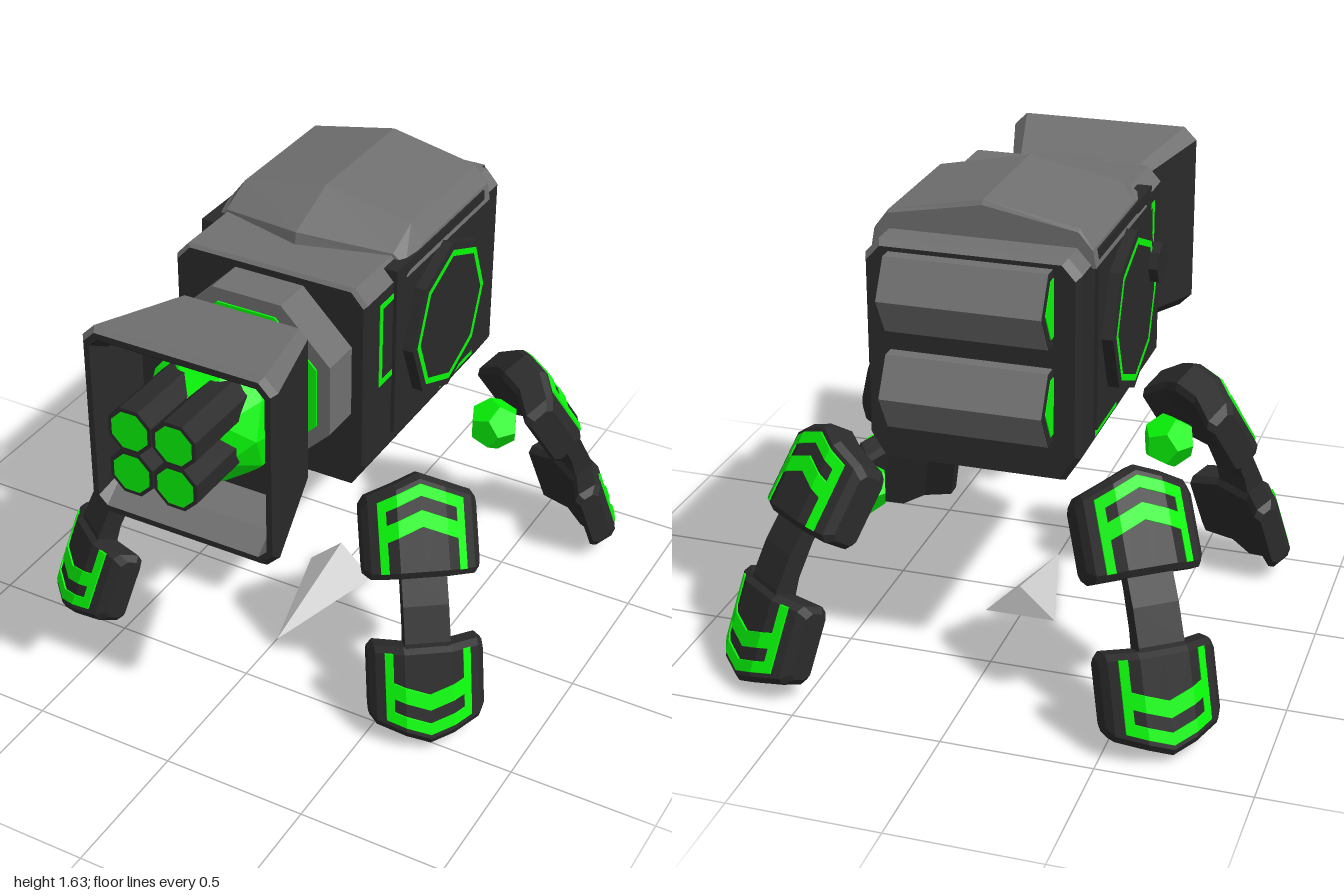
import * as THREE from 'three';
import { ConvexGeometry } from 'three/addons/geometries/ConvexGeometry.js';

const mat = (color, side = THREE.FrontSide) =>
  new THREE.MeshStandardMaterial({ color, flatShading: true, side });
const GREY = mat(0x707070), DARK = mat(0x2a2a2a), GREEN = mat(0x08f808, THREE.DoubleSide), PALE = mat(0xcccccc);

function add(parent, name, geo, material, x = 0, y = 0, z = 0) {
  const m = new THREE.Mesh(geo, material);
  m.name = name;
  m.position.set(x, y, z);
  parent.add(m);
  return m;
}
const box = (p, name, m, w, h, d, x, y, z) => add(p, name, new THREE.BoxGeometry(w, h, d), m, x, y, z);

// Skin through rings of points (counter-clockwise seen from the far end), with end caps
function loft(rings) {
  const pos = [], n = rings[0].length;
  const tri = (...ps) => ps.forEach(p => pos.push(...p));
  const mid = r => [0, 1, 2].map(k => r.reduce((s, p) => s + p[k], 0) / n);
  const first = rings[0], last = rings[rings.length - 1];
  for (let j = 0; j < n; j++) {
    const k = (j + 1) % n;
    for (let i = 0; i + 1 < rings.length; i++) {
      const a = rings[i], b = rings[i + 1];
      tri(a[j], a[k], b[j]);
      tri(a[k], b[k], b[j]);
    }
    tri(mid(first), first[k], first[j]);
    tri(mid(last), last[j], last[k]);
  }
  const g = new THREE.BufferGeometry();
  g.setAttribute('position', new THREE.Float32BufferAttribute(pos, 3));
  g.computeVertexNormals();
  return g;
}

// Two-tone armour: facets facing up are grey, the rest dark
function armour(parent, name, geo, limit) {
  const src = (geo.index ? geo.toNonIndexed() : geo).getAttribute('position').array;
  const sets = [[], []], t = new THREE.Triangle(), nrm = new THREE.Vector3();
  for (let i = 0; i < src.length; i += 9) {
    t.a.fromArray(src, i); t.b.fromArray(src, i + 3); t.c.fromArray(src, i + 6);
    t.getNormal(nrm);
    sets[nrm.y > limit ? 0 : 1].push(...src.slice(i, i + 9));
  }
  sets.forEach((s, i) => {
    if (!s.length) return;
    const g = new THREE.BufferGeometry();
    g.setAttribute('position', new THREE.Float32BufferAttribute(s, 3));
    g.computeVertexNormals();
    add(parent, name + (i ? 'Dark' : 'Grey'), g, i ? DARK : GREY);
  });
}

// Rectangle with cut corners, centred on height cy
const cutRect = (w, h, c, cy, z) => [
  [w, -h + c], [w, h - c], [w - c, h], [-w + c, h], [-w, h - c], [-w, -h + c], [-w + c, -h], [w - c, -h],
].map(([x, y]) => [x, y + cy, z]);

const prismZ = (r, len, sides, turn) =>
  new THREE.CylinderGeometry(r, r, len, sides).rotateY(turn).rotateX(Math.PI / 2);
const prismX = (r, len, sides) => new THREE.CylinderGeometry(r, r, len, sides).rotateZ(Math.PI / 2);

// Leg plate folded back at both sides, with green markings; dir sets whether its point is up or down
function legPlate(name, dir, depth, side, tip) {
  const g = new THREE.Group();
  g.name = name;
  const W = 0.19, FOLD = 0.08;
  const peak = x => tip - (tip - side) * Math.abs(x) / W;
  // Slab across the plate from height lo(x) to hi(x), with cut edges c that grow by end(x)
  const slab = (xs, lo, hi, back, front, c, end = () => 0) => loft(xs.map(x => {
    const f = -0.5 * Math.max(0, Math.abs(x) - FOLD), e = end(x);
    const [y0, y1] = dir > 0 ? [lo(x) + e, hi(x) - e] : [-hi(x) + e, -lo(x) - e];
    const z0 = back + f + e, z1 = front + f - e;
    return [[y0 + c, z0], [y1 - c, z0], [y1, z0 + c], [y1, z1 - c], [y1 - c, z1], [y0 + c, z1],
      [y0, z1 - c], [y0, z0 + c]].map(([y, z]) => [x, y, z]);
  }));
  add(g, 'plate', slab([-W, -W + 0.02, -FOLD, 0, FOLD, W - 0.02, W], () => 0, peak, -depth, 0, 0.02,
    x => (Math.abs(x) === W ? 0.018 : 0)), DARK);
  const band = (label, xs, lo, hi) => add(g, label, slab(xs, lo, hi, -0.004, 0.006, 0.001), GREEN);
  const across = [-0.115, -FOLD, 0, FOLD, 0.115];
  band('greenEdge', across, x => peak(x) - 0.075, x => peak(x) - 0.035);
  band('greenChevron', across, x => peak(x) - 0.175, x => peak(x) - 0.12);
  for (const s of [-1, 1])
    band('greenSide', [s * 0.128 - 0.013, s * 0.128 + 0.013], () => 0.018, x => peak(x) - 0.035);
  return g;
}

// Leg reaching out along local +z
function makeLeg(name) {
  const leg = new THREE.Group();
  leg.name = name;
  const thigh = legPlate('upperLeg', 1, 0.13, 0.265, 0.34);
  thigh.position.set(0, 0.57, 1.045);
  thigh.rotation.x = -0.57;
  const foot = legPlate('foot', -1, 0.11, 0.265, 0.335);
  foot.position.set(0, 0.355, 1.135);
  foot.rotation.x = -0.35;
  leg.add(thigh, foot);
  const bar = (y, z) => [[0.075, y, z + 0.042], [0.075, y + 0.02, z - 0.042],
    [-0.075, y + 0.02, z - 0.042], [-0.075, y, z + 0.042]];
  add(leg, 'shin', loft([bar(0.27, 1.1), bar(0.36, 1.075), bar(0.47, 1.02), bar(0.58, 0.945), bar(0.63, 0.91)]), DARK);
  add(leg, 'hipBall', new THREE.DodecahedronGeometry(0.095), GREEN, 0, 0.59, 0.74);
  return leg;
}

export function createModel() {
  const model = new THREE.Group();
  model.name = 'walkerTurret';

  // Body with cut lower and upper edges
  const hull = (z, k) => [[0.345, 0.86], [0.345, 1.46], [0.3, 1.51], [-0.3, 1.51], [-0.345, 1.46], [-0.345, 0.86],
    [-0.295, 0.78], [0.295, 0.78]].map(([x, y]) => [x * k, 1.14 + (y - 1.14) * k, z]);
  armour(model, 'body', loft([hull(-0.66, 0.96), hull(-0.63, 1), hull(0.3, 1), hull(0.31, 0.97)]), 0.2);
  box(model, 'sidePanels', DARK, 0.715, 0.6, 0.63, 0, 1.2, -0.185);

  // Raised roof with a V-shaped front edge
  const roof = (z, top, nose) => [[0.36, 1.45, z], [0.35, 1.45 + 0.33 * top, z], [0.305, 1.45 + 0.66 * top, z],
    [0, 1.45 + top, z + nose], [-0.305, 1.45 + 0.66 * top, z], [-0.35, 1.45 + 0.33 * top, z], [-0.36, 1.45, z]];
  armour(model, 'roof', loft([roof(-0.54, 0.165, 0), roof(-0.53, 0.18, 0), roof(-0.06, 0.18, 0),
    roof(0.06, 0.1, 0.08), roof(0.065, 0.04, 0.085)]), -0.5);

  // Side discs, lug and green outlines
  add(model, 'sideDiscs', prismX(0.27, 0.79, 8), DARK, 0, 1.19, -0.19);
  for (const s of [-1, 1]) {
    const ring = add(model, 'discRing', new THREE.RingGeometry(0.222, 0.245, 8), GREEN, s * 0.398, 1.19, -0.19);
    ring.rotation.y = s * Math.PI / 2;
    const x = s * 0.342, t = 0.01;
    box(model, 'frontBracket', GREEN, t, 0.3, 0.02, x, 1.27, 0.21);
    for (const y of [1.13, 1.41]) box(model, 'bracketArm', GREEN, t, 0.02, 0.08, x, y, 0.17);
    box(model, 'lowerBracket', GREEN, t, 0.02, 0.25, x, 0.878, -0.355);
    for (const z of [-0.24, -0.47]) box(model, 'lowerBracketArm', GREEN, t, 0.04, 0.02, x, 0.89, z);
  }
  add(model, 'discLug', prismX(0.07, 0.08, 8), DARK, -0.385, 1.275, 0.03);

  // Rear drums with dark rims and green ends
  for (const y of [1.04, 1.36]) {
    add(model, 'rearDrum', prismX(0.14, 0.52, 6), GREY, 0, y, -0.635);
    add(model, 'rearDrumRim', prismX(0.138, 0.524, 6), DARK, 0, y, -0.635);
    add(model, 'rearDrumCore', prismX(0.108, 0.53, 6), GREEN, 0, y, -0.635);
  }

  // Neck between body and muzzle
  armour(model, 'neck', prismZ(0.32, 0.16, 8, Math.PI / 8).translate(0, 1.18, 0.37), -0.1);
  add(model, 'neckGlow', prismZ(0.27, 0.02, 8, Math.PI / 8), GREEN, 0, 1.18, 0.446);
  add(model, 'neckCore', prismZ(0.22, 0.12, 8, Math.PI / 8), DARK, 0, 1.16, 0.45);

  // Flared hollow muzzle
  armour(model, 'muzzle', loft([
    cutRect(0.235, 0.285, 0.03, 1.15, 0.48), cutRect(0.34, 0.34, 0.045, 1.15, 0.84),
    cutRect(0.325, 0.325, 0.04, 1.15, 0.86), cutRect(0.305, 0.305, 0.03, 1.15, 0.86),
    cutRect(0.285, 0.25, 0.01, 1.15, 0.79), cutRect(0.265, 0.245, 0.01, 1.15, 0.64)]), 0.2);
  add(model, 'energyBall', new THREE.IcosahedronGeometry(0.235, 1), GREEN, 0, 1.165, 0.61);

  // Four barrels
  for (const x of [-0.077, 0.077]) for (const y of [1.12, 1.27]) {
    add(model, 'barrel', prismZ(0.081, 0.35, 8, Math.PI / 8), DARK, x, y, 0.823);
    add(model, 'barrelTip', new THREE.CircleGeometry(0.068, 8).rotateZ(Math.PI / 8), GREEN, x, y, 0.9995);
  }

  // Four splayed legs
  const splay = 0.63;
  for (const s of [-1, 1]) {
    const front = makeLeg('frontLeg'), rear = makeLeg('rearLeg');
    front.position.z = -0.46;
    front.rotation.y = s * splay;
    rear.position.z = 0.09;
    rear.rotation.y = s * (Math.PI - splay);
    model.add(front, rear);
  }

  // Small wedge on the ground
  add(model, 'groundWedge', new ConvexGeometry([[0, 0, 0.29], [-0.125, 0, -0.18], [0.125, 0, -0.18],
    [0, 0.115, -0.18]].map(p => new THREE.Vector3(...p))), PALE);
  return model;
}
